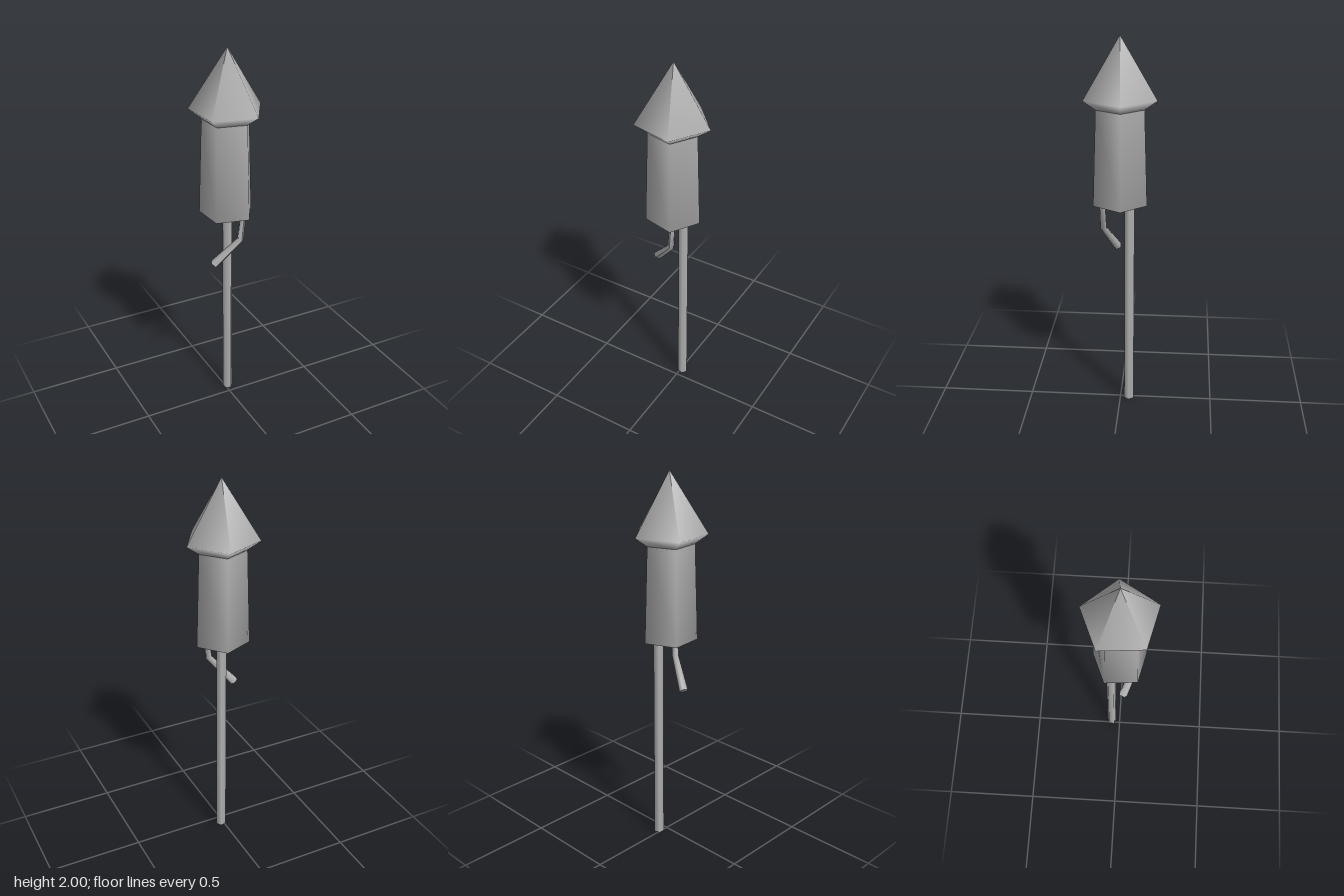
import * as THREE from 'three';

const SIDES = 5;

// Five-sided smooth solid from a [radius, height] profile, listed bottom to top
function turned(name, profile, material, phiStart, x, z) {
  const points = profile.map(([r, y]) => new THREE.Vector2(r, y));
  const mesh = new THREE.Mesh(new THREE.LatheGeometry(points, SIDES, phiStart), material);
  mesh.name = name;
  mesh.position.set(x, 0, z);
  return mesh;
}

// Bent, widening fuse: a cylinder whose three rings are moved onto path stations
function fuseGeometry() {
  const stations = [
    { at: [0.03, 1.15, 0.09], dir: [0, -1, 0], r: 0.016 },
    { at: [0.018, 1.01, 0.085], dir: [-0.3, -0.9, -0.2], r: 0.018 },
    { at: [-0.102, 0.866, 0.024], dir: [-0.6, -0.74, -0.3], r: 0.024 },
  ];
  const geometry = new THREE.CylinderGeometry(1, 1, 2, SIDES, 2);
  const pos = geometry.attributes.position;
  const down = new THREE.Vector3(0, -1, 0);
  const v = new THREE.Vector3();
  for (let i = 0; i < pos.count; i++) {
    const s = stations[Math.round(1 - pos.getY(i))];
    const turn = new THREE.Quaternion().setFromUnitVectors(down, new THREE.Vector3(...s.dir).normalize());
    v.set(pos.getX(i) * s.r, 0, pos.getZ(i) * s.r).applyQuaternion(turn);
    pos.setXYZ(i, v.x + s.at[0], v.y + s.at[1], v.z + s.at[2]);
  }
  geometry.computeVertexNormals();
  return geometry;
}

export function createModel() {
  const group = new THREE.Group();
  group.name = 'fireworkRocket';
  const grey = new THREE.MeshStandardMaterial({ color: 0xb4b4b4 });
  grey.name = 'plain grey';

  // Pentagonal tube and pointed head share one axis and orientation
  const turn = THREE.MathUtils.degToRad(94.7);
  group.add(turned('body', [[0, 1.14], [0.145, 1.14], [0.128, 1.64]], grey, turn, -0.014, 0.004));
  group.add(turned('noseCone', [[0.128, 1.64], [0.194, 1.69], [0, 2]], grey, turn, -0.014, 0.004));

  // Guide stick behind the centre
  group.add(turned('stick', [[0, 0], [0.027, 0], [0.027, 1.15], [0, 1.15]], grey, 0.3, 0.013, -0.048));

  // Fuse hanging from the front of the body
  const fuse = new THREE.Mesh(fuseGeometry(), grey);
  fuse.name = 'fuse';
  group.add(fuse);

  return group;
}
